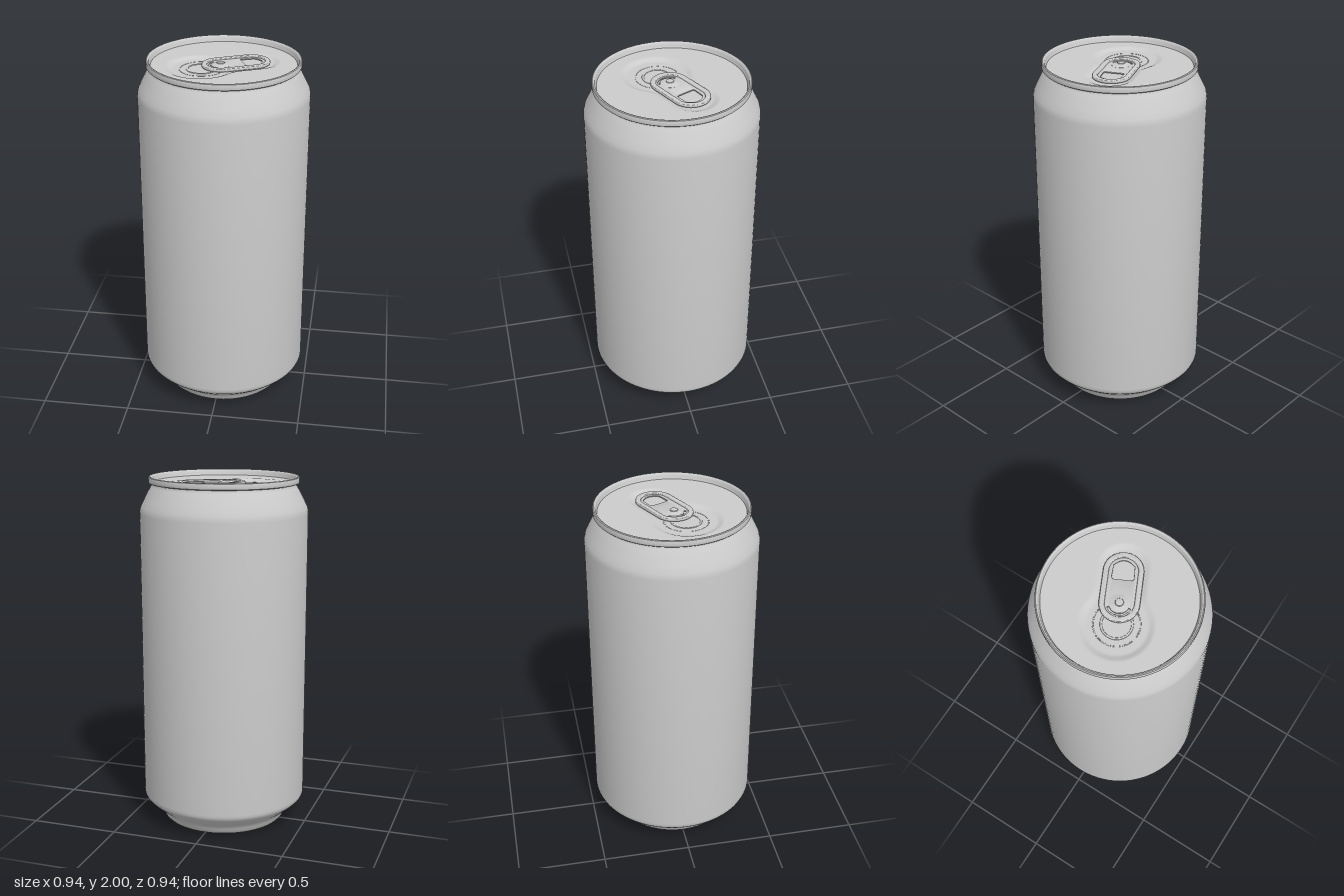
import * as THREE from 'three';
import { toCreasedNormals } from 'three/addons/utils/BufferGeometryUtils.js';

const material = new THREE.MeshStandardMaterial({ color: 0xcccccc });
const LID_Y = 1.964, FLOOR_Y = 1.951;
const RIVET = { x: -0.017, z: 0.007 }, TAB_ANGLE = THREE.MathUtils.degToRad(25.5);

function addMesh(parent, name, geometry) {
  const mesh = new THREE.Mesh(geometry, material);
  mesh.name = name;
  parent.add(mesh);
  return mesh;
}

function lathe(points, segments, crease = 0.6) {
  const profile = points.map(([r, y]) => new THREE.Vector2(r, y));
  return toCreasedNormals(new THREE.LatheGeometry(profile, segments), crease);
}

// Stadium outline from (0,0) to (length,0)
function capsule(length, r, Type = THREE.Shape) {
  const s = new Type();
  s.moveTo(0, -r);
  s.lineTo(length, -r);
  s.absarc(length, 0, r, -Math.PI / 2, Math.PI / 2, false);
  s.lineTo(0, r);
  s.absarc(0, 0, r, Math.PI / 2, Math.PI * 1.5, false);
  return s;
}

// Flat part lying in the xz plane, with rounded edges that keep its outline
function flatPart(shape, thickness, bevel) {
  const g = new THREE.ExtrudeGeometry(shape, {
    depth: thickness - 2 * bevel, curveSegments: 24, bevelEnabled: true,
    bevelThickness: bevel, bevelSize: bevel, bevelOffset: -bevel, bevelSegments: 4,
  });
  g.translate(0, 0, bevel);
  g.rotateX(-Math.PI / 2);
  return toCreasedNormals(g, 0.7);
}

// Height of the lid: a keyhole-shaped recess pressed into a flat panel
function lidHeight(x, z) {
  const dx = x - RIVET.x, dz = z - RIVET.z;
  const c = Math.cos(TAB_ANGLE), s = Math.sin(TAB_ANGLE);
  const u = dx * c - dz * s, v = dx * s + dz * c;
  const big = Math.hypot(u + 0.116, v) - 0.175;
  const slim = Math.hypot(u - THREE.MathUtils.clamp(u, 0, 0.2), v) - 0.115;
  const k = 0.04, h = Math.max(k - Math.abs(big - slim), 0) / k;
  const d = Math.min(big, slim) - h * h * k * 0.25;
  return THREE.MathUtils.lerp(FLOOR_Y, LID_Y, THREE.MathUtils.smoothstep(d, -0.022, 0.02));
}

export function createModel() {
  const can = new THREE.Group();
  can.name = 'drinkCan';

  // Body: domed base, foot, straight wall and tapered shoulder
  const dome = [];
  for (let i = 0; i <= 10; i++) {
    const r = 0.3 * i / 10;
    dome.push([r, 0.015 + 0.085 * (1 - (r / 0.3) ** 2)]);
  }
  addMesh(can, 'body', lathe([
    ...dome, [0.307, 0.004], [0.317, 0], [0.335, 0.001], [0.347, 0.006], [0.357, 0.017],
    [0.366, 0.038], [0.374, 0.054], [0.386, 0.066], [0.41, 0.085], [0.455, 0.124],
    [0.466, 0.137], [0.471, 0.15], [0.472, 0.165], [0.472, 1.8], [0.47, 1.818],
    [0.465, 1.835], [0.45, 1.866], [0.425, 1.915], [0.408, 1.944], [0.4, 1.956], [0.4, 1.966],
  ], 96));

  // Rolled rim with the inner wall dropping to the lid
  addMesh(can, 'rim', lathe([
    [0.398, 1.963], [0.416, 1.963], [0.42, 1.967], [0.421, 1.975], [0.421, 1.99],
    [0.419, 1.997], [0.414, 2], [0.409, 1.999], [0.405, 1.995], [0.402, 1.983],
    [0.396, 1.966], [0.392, LID_Y],
  ], 96));

  // Lid with its pressed recess
  const lid = new THREE.RingGeometry(0.0005, 0.397, 144, 72);
  lid.rotateX(-Math.PI / 2);
  const p = lid.attributes.position;
  for (let i = 0; i < p.count; i++) p.setY(i, lidHeight(p.getX(i), p.getZ(i)));
  lid.computeVertexNormals();
  addMesh(can, 'lid', lid);

  // Opener parts share a frame at the rivet, turned along the tab
  const opener = new THREE.Group();
  opener.name = 'opener';
  opener.position.set(RIVET.x, FLOOR_Y, RIVET.z);
  opener.rotation.y = TAB_ANGLE;
  can.add(opener);

  // Scored outline and raised bead of the mouth
  for (const [name, r, tube, start, sweep] of [
    ['mouthScore', 0.118, 0.003, 0.5, 5.6], ['mouthBead', 0.078, 0.006, 0.9, 4.5],
  ]) {
    const ring = new THREE.TorusGeometry(r, tube, 8, 64, sweep);
    ring.rotateZ(start);
    ring.rotateX(-Math.PI / 2);
    ring.scale(1, 0.5, 1);
    addMesh(opener, name, ring).position.x = -0.107;
  }

  // Curled tab frame
  const frame = capsule(0.174, 0.103);
  frame.holes.push(capsule(0.174, 0.074, THREE.Path));
  addMesh(opener, 'tabFrame', flatPart(frame, 0.018, 0.006)).position.y = 0.003;

  // Tab plate with the finger hole and the rivet opening
  const plate = capsule(0.174, 0.08);
  const finger = new THREE.Path();
  finger.moveTo(0.14, -0.056);
  finger.lineTo(0.205, -0.053);
  finger.quadraticCurveTo(0.262, 0, 0.205, 0.053);
  finger.lineTo(0.14, 0.056);
  finger.quadraticCurveTo(0.128, 0.056, 0.128, 0.044);
  finger.lineTo(0.128, -0.044);
  finger.quadraticCurveTo(0.128, -0.056, 0.14, -0.056);
  const slot = new THREE.Path();
  slot.absarc(0, 0, 0.064, 2.0, 4.3, false);
  slot.absarc(0, 0, 0.054, 4.3, 2.0, true);
  plate.holes.push(finger, slot);
  addMesh(opener, 'tabPlate', flatPart(plate, 0.007, 0.0015)).position.y = 0.006;

  // Conical rivet
  addMesh(opener, 'rivet', lathe([
    [0.052, 0], [0.052, 0.0135], [0.047, 0.0145], [0.022, 0.023], [0.02, 0.027], [0.017, 0.028], [0, 0.028],
  ], 40, 0.4));

  return can;
}
